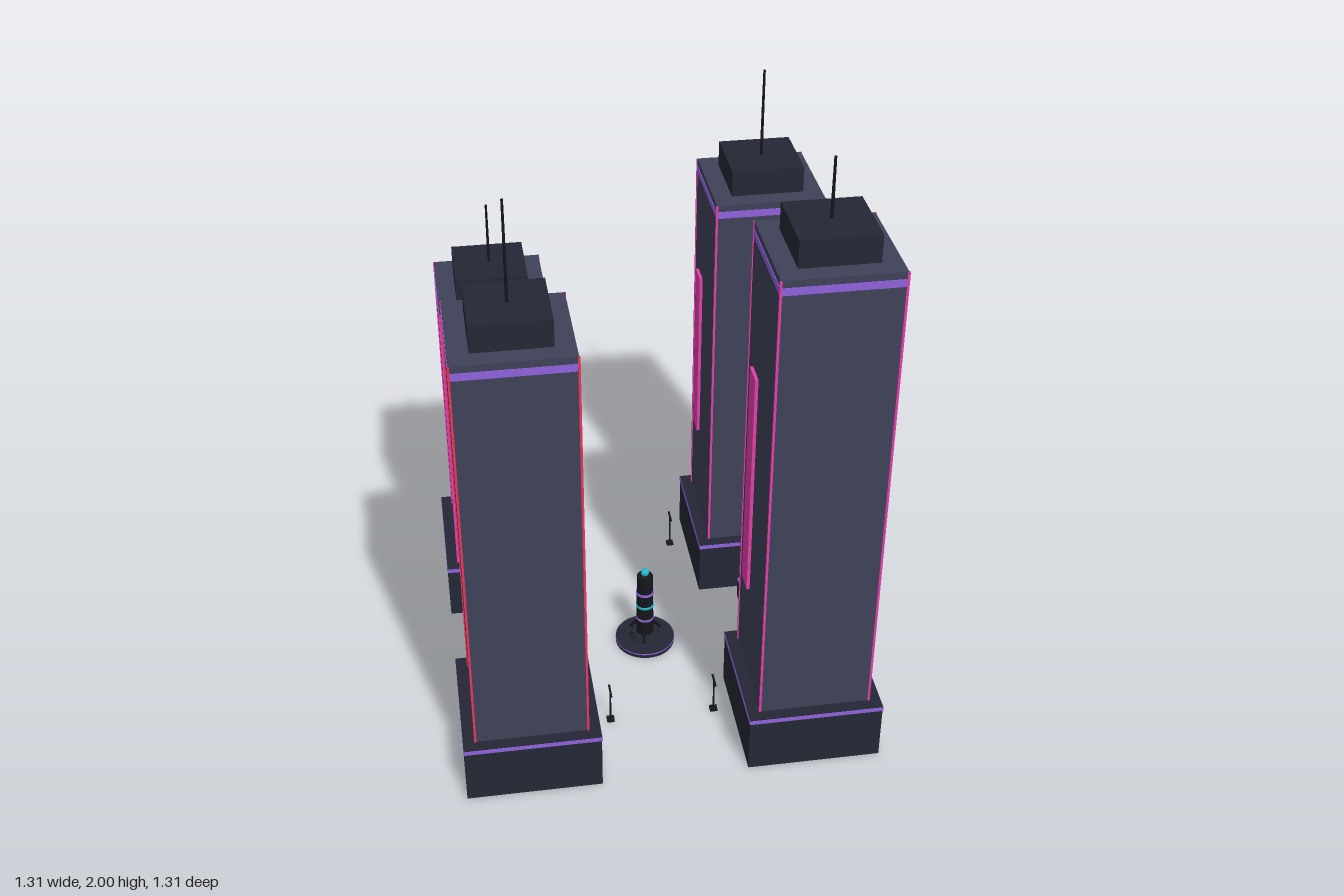
import * as THREE from 'three';

const mat = (color) => new THREE.MeshStandardMaterial({ color });
const M = {
  shaft: mat(0x3f4259), dark: mat(0x242834), black: mat(0x15171c), purple: mat(0x9163dd),
  pink: mat(0xe03fa8), red: mat(0xe8365f), cyan: mat(0x22b8cc), pale: mat(0xb9b4d8),
};

function add(parent, name, geometry, material, x, y, z) {
  const m = new THREE.Mesh(geometry, material);
  m.name = name;
  m.position.set(x, y, z);
  parent.add(m);
  return m;
}

// box and cylinder standing on height y0
const box = (p, name, material, w, h, d, x, y0, z) =>
  add(p, name, new THREE.BoxGeometry(w, h, d), material, x, y0 + h / 2, z);
const cyl = (p, name, material, r0, r1, h, sides, y0, x = 0, z = 0) =>
  add(p, name, new THREE.CylinderGeometry(r1, r0, h, sides), material, x, y0 + h / 2, z);

function createTower({ sx, sz, top, tip, signY, signH, neon, signMat }) {
  const g = new THREE.Group();
  g.name = 'tower';
  g.position.set(sx * 0.4425, 0, sz * 0.4425);
  // podium with glowing trim just under its top
  box(g, 'podium', M.dark, 0.422, 0.199, 0.422, 0, 0, 0);
  box(g, 'podiumTrim', M.purple, 0.426, 0.014, 0.426, 0, 0.184, 0);
  box(g, 'podiumRoof', M.dark, 0.424, 0.001, 0.424, 0, 0.1985, 0);
  // shaft, roof band, roof block, antenna
  box(g, 'shaft', M.shaft, 0.348, top - 0.199, 0.348, 0, 0.199, 0);
  box(g, 'roofBand', M.purple, 0.352, 0.023, 0.352, 0, top - 0.045, 0);
  box(g, 'roofBlock', M.dark, 0.23, 0.084, 0.23, 0, top, 0);
  cyl(g, 'antenna', M.black, 0.005, 0.004, tip - top - 0.084, 6, top + 0.084);
  // neon strips on the four corners
  for (const x of [-1, 1]) for (const z of [-1, 1])
    box(g, 'cornerStrip', neon, 0.007, top - 0.2, 0.007, x * 0.1735, 0.199, z * 0.1735);
  // vertical sign on the face towards the street
  box(g, 'signPanel', signMat, 0.01, signH, 0.074, -sx * 0.182, signY - signH / 2, -0.061);
  return g;
}

function createBeacon() {
  const g = new THREE.Group();
  g.name = 'beacon';
  cyl(g, 'disc', M.dark, 0.1, 0.1, 0.02, 32, 0);
  cyl(g, 'discTrim', M.purple, 0.101, 0.101, 0.004, 32, 0.013);
  cyl(g, 'plinth', M.dark, 0.055, 0.045, 0.02, 8, 0.02);
  cyl(g, 'column', M.black, 0.03, 0.027, 0.24, 12, 0.04);
  [[0.098, M.purple], [0.152, M.cyan], [0.206, M.purple]].forEach(([y, m]) =>
    cyl(g, 'lightRing', m, 0.031, 0.031, 0.008, 16, y));
  add(g, 'beaconLamp', new THREE.SphereGeometry(0.014, 16, 12), M.cyan, 0, 0.293, 0);
  // three sloping braces
  for (let i = 0; i < 3; i++) {
    const a = THREE.MathUtils.degToRad(101 + 120 * i);
    const point = (r, y) => new THREE.Vector3(r * Math.cos(a), y, r * Math.sin(a));
    const path = new THREE.LineCurve3(point(0.06, 0.03), point(0.024, 0.08));
    add(g, 'brace', new THREE.TubeGeometry(path, 1, 0.005, 6), M.black, 0, 0, 0);
  }
  return g;
}

function createLamp(x, z) {
  const g = new THREE.Group();
  g.name = 'streetLamp';
  g.position.set(x, 0, z);
  box(g, 'lampFoot', M.black, 0.024, 0.01, 0.022, 0, 0, 0);
  cyl(g, 'lampPole', M.black, 0.003, 0.003, 0.12, 6, 0.01);
  box(g, 'lampArm', M.black, 0.006, 0.006, 0.054, 0, 0.124, 0);
  return g;
}

function createKiosk(x, z) {
  const g = new THREE.Group();
  g.name = 'kiosk';
  g.position.set(x, 0, z);
  box(g, 'kioskBody', M.dark, 0.034, 0.073, 0.028, 0, 0, 0);
  box(g, 'kioskTop', M.purple, 0.035, 0.003, 0.03, 0, 0.073, 0);
  for (const s of [-1, 1])
    box(g, 'kioskScreen', M.pale, 0.022, 0.035, 0.002, 0, 0.03, s * 0.0145);
  return g;
}

export function createModel() {
  const model = new THREE.Group();
  model.name = 'cityBlock';
  const towers = [
    { sx: 1, sz: 1, top: 1.733, tip: 2.0, signY: 0.915, signH: 0.77, neon: M.pink, signMat: M.pink },
    { sx: -1, sz: 1, top: 1.55, tip: 1.94, signY: 0.795, signH: 0.75, neon: M.red, signMat: M.red },
    { sx: 1, sz: -1, top: 1.51, tip: 1.88, signY: 0.835, signH: 0.61, neon: M.pink, signMat: M.pink },
    { sx: -1, sz: -1, top: 1.195, tip: 1.48, signY: 0.7, signH: 0.5, neon: M.pink, signMat: M.pink },
  ];
  for (const t of towers) {
    const tower = createTower(t);
    model.add(tower);
  }
  model.add(createBeacon());
  for (const x of [-0.17, 0.17]) for (const z of [-0.51, 0.378]) model.add(createLamp(x, z));
  for (const x of [-0.507, 0.377]) for (const z of [-0.17, 0.168]) model.add(createKiosk(x, z));
  return model;
}
